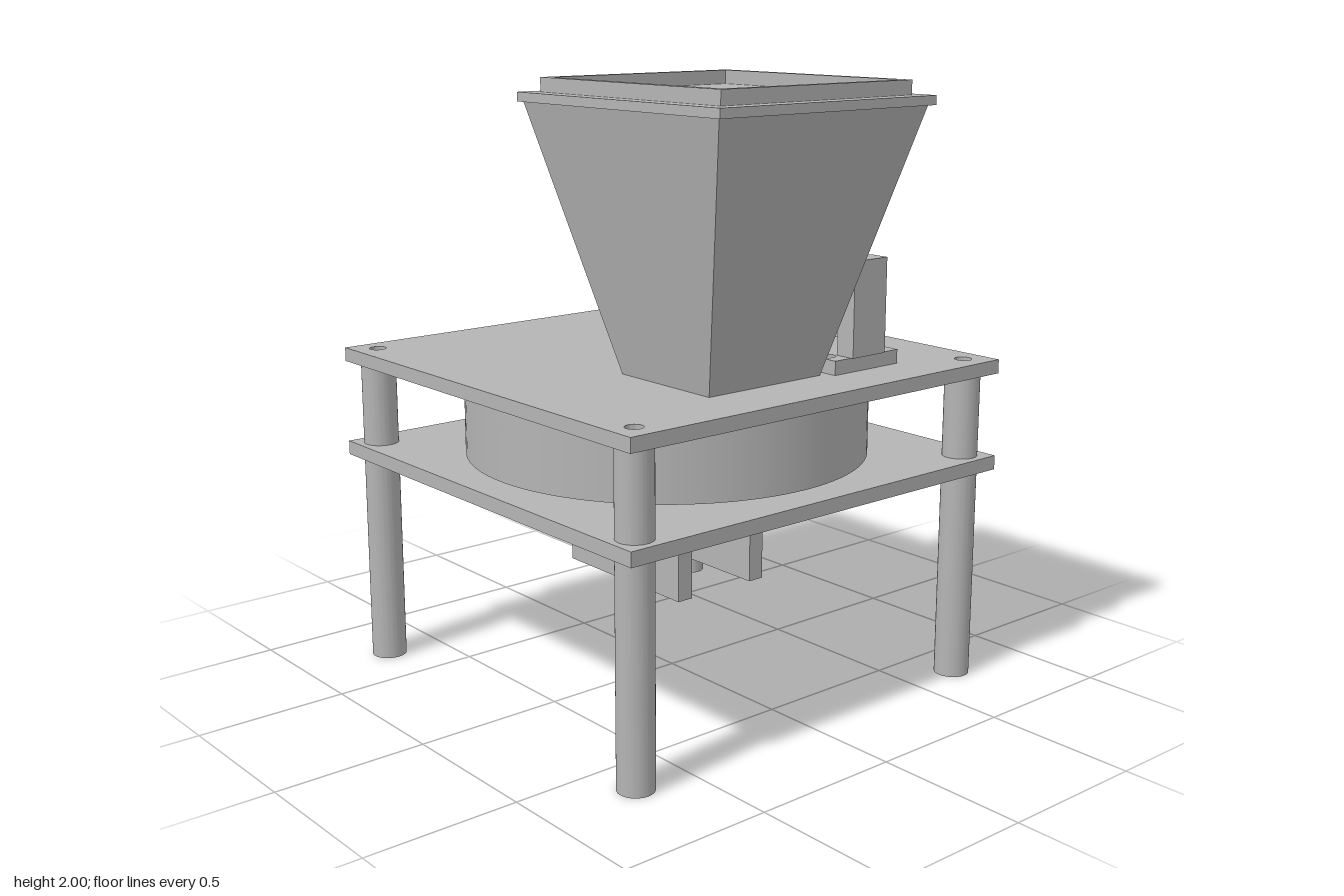
import * as THREE from 'three';
import { toCreasedNormals } from 'three/addons/utils/BufferGeometryUtils.js';

export function createModel() {
  const model = new THREE.Group();
  const grey = new THREE.MeshStandardMaterial({ color: 0xb4b4b4 });
  grey.name = 'plain grey';

  function add(name, geometry, parent = model) {
    const mesh = new THREE.Mesh(geometry, grey);
    mesh.name = name;
    parent.add(mesh);
    return mesh;
  }

  function box(name, x0, x1, y0, y1, z0, z1) {
    const g = new THREE.BoxGeometry(x1 - x0, y1 - y0, z1 - z0);
    g.translate((x0 + x1) / 2, (y0 + y1) / 2, (z0 + z1) / 2);
    return add(name, g);
  }

  const rectPoints = (x0, x1, z0, z1) =>
    [[x0, -z1], [x1, -z1], [x1, -z0], [x0, -z0]].map(([x, y]) => new THREE.Vector2(x, y));
  const circle = (x, z, r) => new THREE.Path().absarc(x, -z, r, 0, Math.PI * 2, true);
  const rect = (...r) => new THREE.Path(rectPoints(...r).reverse());

  // Horizontal outline raised from y0 to y1
  function raise(name, shape, holes, y0, y1) {
    shape.holes.push(...holes);
    let g = new THREE.ExtrudeGeometry(shape, { depth: y1 - y0, bevelEnabled: false, curveSegments: 32 });
    g.rotateX(-Math.PI / 2).translate(0, y0, 0);
    return add(name, toCreasedNormals(g, 0.6));
  }
  const plate = (name, r, holes, y0, y1) => raise(name, new THREE.Shape(rectPoints(...r)), holes, y0, y1);

  // Two deck plates, drilled at the corners
  const legs = [];
  for (const x of [-0.716, 0.657]) for (const z of [-0.688, 0.688]) legs.push([x, z]);
  const drilled = () => legs.map(([x, z]) => circle(x, z, 0.028));
  const deck = [-0.795, 0.74, -0.768, 0.768];
  plate('topPlate', deck, drilled(), 1.04, 1.086);
  plate('lowerPlate', deck, [...drilled(), rect(-0.1, 0.16, -0.54, -0.29)], 0.715, 0.762);

  // Tubular legs and the spacers between the plates
  for (const [x, z] of legs) {
    for (const [name, y0, y1] of [['leg', 0, 0.715], ['spacer', 0.762, 1.04]]) {
      const ring = new THREE.Shape().absarc(x, -z, 0.058, 0, Math.PI * 2, false);
      raise(name, ring, [circle(x, z, 0.028)], y0, y1);
    }
  }

  // Drum between the plates
  add('drum', new THREE.CylinderGeometry(0.668, 0.668, 0.265, 96).translate(-0.028, 0.9015, 0));

  // Motor bracket under the lower plate
  plate('bracketPlate', [-0.37, 0.313, -0.2, 0.2], [circle(0.284, 0, 0.02), circle(-0.34, 0, 0.02)], 0.67, 0.715);
  box('bracketCheek', -0.312, 0.255, 0.34, 0.67, 0.13, 0.187);
  box('bracketCheek', -0.312, 0.255, 0.34, 0.67, -0.179, -0.122);

  // Hopper: a box whose bottom is drawn in
  const hopper = new THREE.BoxGeometry(0.904, 0.84, 0.83);
  const p = hopper.attributes.position;
  for (let i = 0; i < p.count; i++) {
    if (p.getY(i) < 0) {
      p.setX(i, p.getX(i) * 0.456);
      p.setZ(i, p.getZ(i) * 0.554);
    }
  }
  hopper.computeVertexNormals();
  add('hopper', hopper.translate(0.325, 1.506, 0.073));
  box('hopperFlange', -0.143, 0.793, 1.926, 1.955, -0.36, 0.5);
  plate('hopperRim', [-0.09, 0.74, -0.31, 0.45], [rect(-0.065, 0.715, -0.286, 0.423)], 1.955, 2);

  // Stand behind the hopper
  const screws = [];
  for (const x of [0.16, 0.493]) for (const z of [-0.43, -0.225]) screws.push(circle(x, z, 0.028));
  plate('standBase', [0.09, 0.565, -0.472, -0.19], screws, 1.086, 1.132);
  box('standPost', 0.08, 0.15, 1.132, 1.44, -0.402, -0.258);
  box('standPost', 0.505, 0.575, 1.132, 1.44, -0.402, -0.258);

  // Tilted block with a thin tongue pointing at the hopper
  const tilted = new THREE.Group();
  tilted.name = 'tiltedBlock';
  tilted.position.set(0.3275, 1.401, -0.312);
  tilted.rotation.x = Math.PI / 4;
  model.add(tilted);
  add('block', new THREE.BoxGeometry(0.355, 0.058, 0.1), tilted);
  add('tongue', new THREE.BoxGeometry(0.3, 0.018, 0.16).translate(0, -0.02, 0.115), tilted);

  return model;
}
